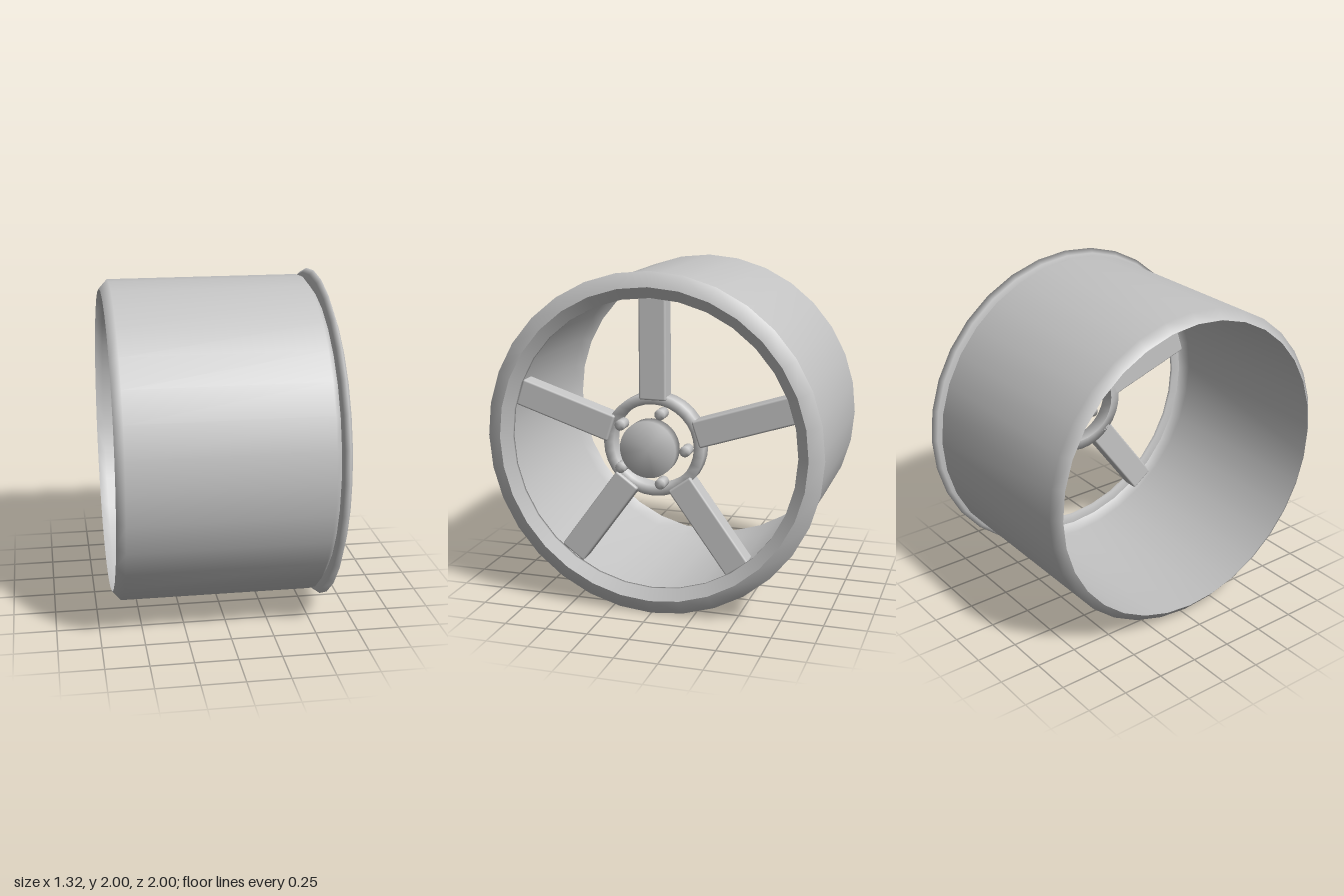
import * as THREE from 'three';
import { RoundedBoxGeometry } from 'three/addons/geometries/RoundedBoxGeometry.js';

const metal = new THREE.MeshStandardMaterial({ color: 0xc4c4c4, side: THREE.DoubleSide });
metal.name = 'greyMetal';

export function createModel() {
  const wheel = new THREE.Group();
  wheel.name = 'wheelRim';
  wheel.position.y = 1;

  const add = (name, geometry) => {
    const mesh = new THREE.Mesh(geometry, metal);
    mesh.name = name;
    wheel.add(mesh);
    return mesh;
  };
  // Turn a profile of [radius, x] pairs around the x axis
  const turn = (name, profile, sides = 32) =>
    add(name, new THREE.LatheGeometry(profile.map(p => new THREE.Vector2(...p)), sides).rotateZ(-Math.PI / 2));

  // Open barrel with chamfered ends
  turn('barrel', [[0.91, -0.66], [0.965, -0.61], [0.965, 0.54], [0.91, 0.58]]);

  // Outer lip and the recessed collar inside it
  turn('lip', [[0.91, 0.58], [0.975, 0.58], [1, 0.607], [0.915, 0.64]]);
  turn('collar', [[0.915, 0.64], [0.85, 0.6]]);
  turn('collarBack', [[0.85, 0.6], [0.85, 0.58], [0.91, 0.58]]);

  // Hub ring and centre cap, with softened shading
  turn('hubRing', [[0.24, 0.46], [0.3, 0.46], [0.3, 0.55], [0.24, 0.55], [0.24, 0.46]]);
  turn('centreCap', [[0, 0.575], [0.165, 0.575], [0.165, 0.655], [0, 0.655]]);

  for (let i = 0; i < 5; i++) {
    const turnAngle = i * Math.PI * 2 / 5;

    // Spoke from hub ring to collar
    const spoke = new RoundedBoxGeometry(0.11, 0.59, 0.16, 2, 0.012);
    spoke.translate(0.515, 0.56, 0).rotateX(turnAngle);
    add('spoke', spoke);

    // Wheel stud between cap and ring
    const stud = turn('stud', [[0, 0.56], [0.031, 0.56], [0.031, 0.635], [0, 0.635]], 16);
    stud.position.set(0, Math.sin(turnAngle) * 0.212, -Math.cos(turnAngle) * 0.212);
  }
  return wheel;
}
